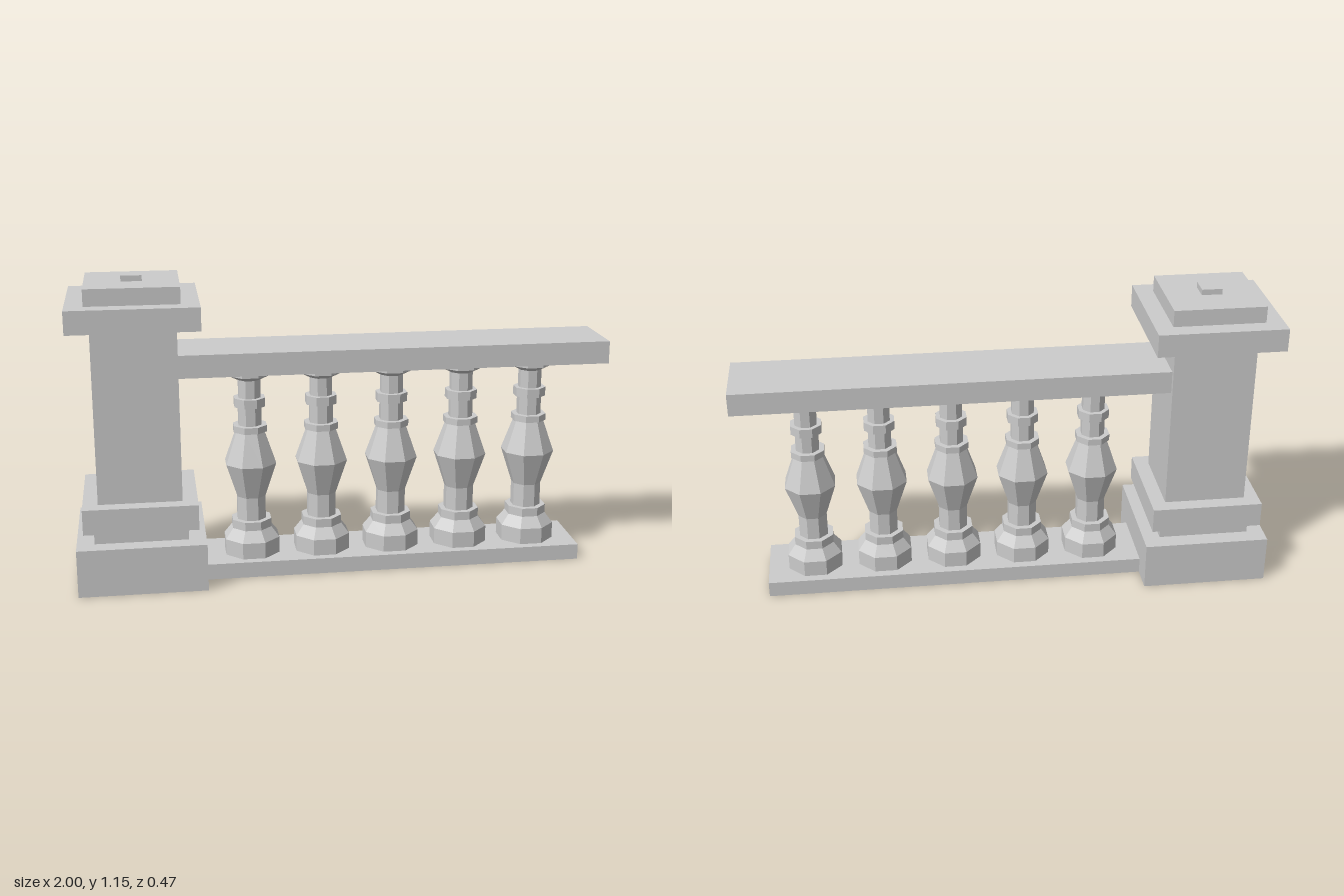
import * as THREE from 'three';

export function createModel() {
  const model = new THREE.Group();
  model.name = 'balustrade';
  const material = new THREE.MeshStandardMaterial({ color: 0xcccccc, flatShading: true });

  function addBox(parent, name, x0, x1, y0, y1, depth) {
    const mesh = new THREE.Mesh(new THREE.BoxGeometry(x1 - x0, y1 - y0, depth), material);
    mesh.position.set((x0 + x1) / 2, (y0 + y1) / 2, 0);
    mesh.name = name;
    parent.add(mesh);
  }

  // Square end post, stacked from the ground up: name, half width, bottom, top
  const post = new THREE.Group();
  post.name = 'post';
  post.position.x = -0.763;
  model.add(post);
  const tiers = [
    ['postPlinth', 0.237, 0, 0.18],
    ['postNeck', 0.172, 0.18, 0.23],
    ['postBand', 0.21, 0.23, 0.325],
    ['postShaft', 0.154, 0.325, 0.977],
    ['postCap', 0.237, 0.977, 1.063],
    ['postCapStep', 0.17, 1.063, 1.125],
    ['postKnob', 0.038, 1.125, 1.146],
  ];
  for (const [name, half, y0, y1] of tiers) addBox(post, name, -half, half, y0, y1, half * 2);

  // Handrail and footing between the balusters
  addBox(model, 'handrail', -0.61, 1, 0.783, 0.868, 0.27);
  addBox(model, 'footing', -0.53, 0.915, 0, 0.06, 0.27);

  // Octagonal turned baluster: distance to the flat side, height
  const profile = [
    [0.102, 0.06], [0.102, 0.122], [0.073, 0.162], [0.073, 0.195],
    [0.053, 0.195], [0.053, 0.285], [0.094, 0.417], [0.053, 0.54],
    [0.062, 0.54], [0.062, 0.565], [0.043, 0.565], [0.043, 0.637],
    [0.057, 0.637], [0.057, 0.671], [0.041, 0.671], [0.041, 0.74],
    [0.073, 0.758], [0.073, 0.783],
  ].map(([flat, y]) => new THREE.Vector2(flat / Math.cos(Math.PI / 8), y));
  const turned = new THREE.LatheGeometry(profile, 8, Math.PI / 8).toNonIndexed();
  turned.computeVertexNormals();

  for (let i = 0; i < 5; i++) {
    const baluster = new THREE.Mesh(turned, material);
    baluster.name = `baluster${i + 1}`;
    baluster.position.x = -0.345 + i * 0.27;
    model.add(baluster);
  }
  return model;
}
